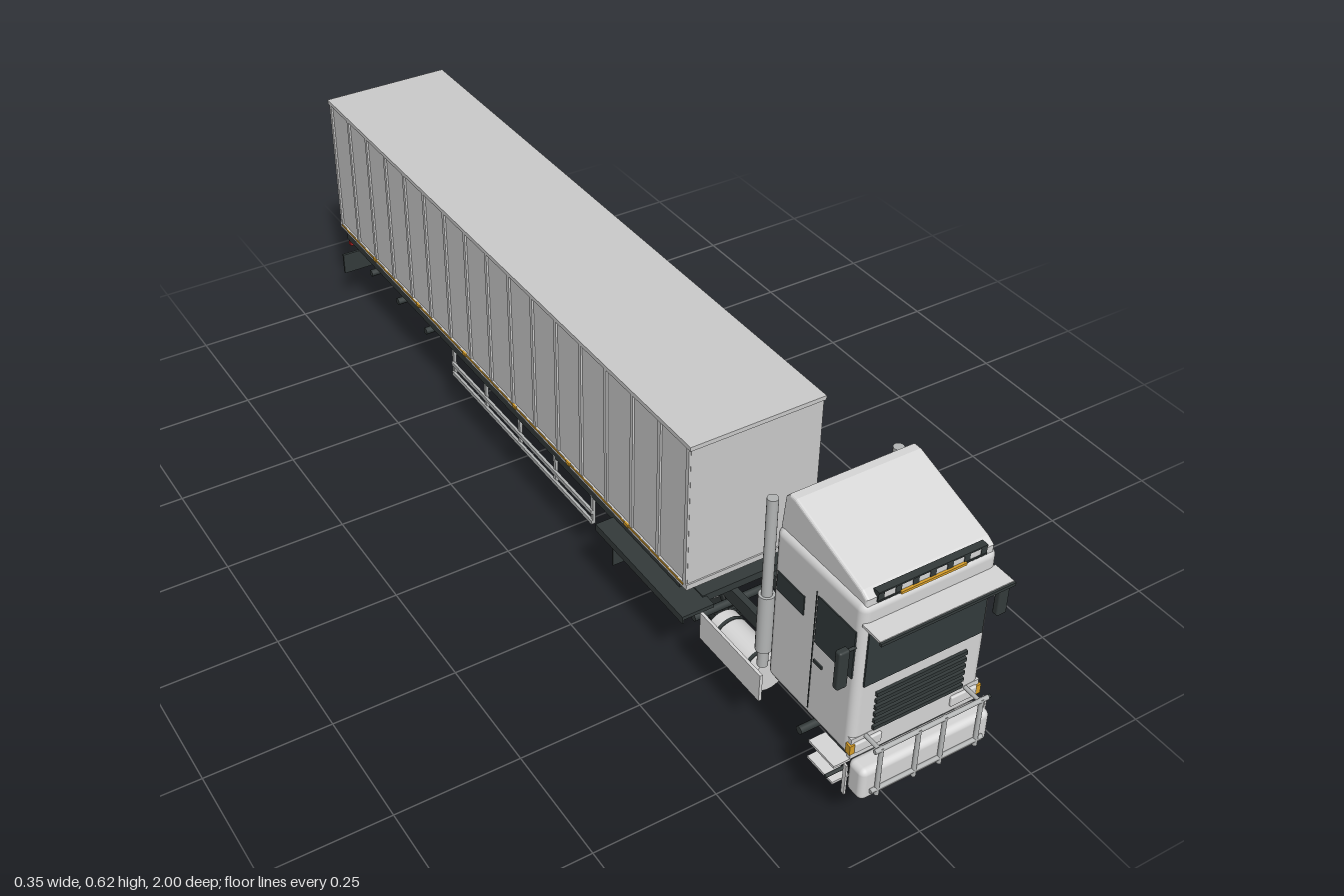
import * as THREE from 'three';
import { RoundedBoxGeometry } from 'three/addons/geometries/RoundedBoxGeometry.js';

const mat = (name, color) => {
  const m = new THREE.MeshStandardMaterial({ color });
  m.name = name;
  return m;
};

export function createModel() {
  const root = new THREE.Group();
  const paint = mat('cab paint', 0xd8d8d8), body = mat('trailer panel', 0xcccccc), steel = mat('steel', 0xb4b6b6);
  const dark = mat('chassis dark', 0x343b3b), glass = mat('glass', 0x333b3c), rubber = mat('rubber', 0x2b3131);
  const amber = mat('amber lamp', 0xd9a02b), red = mat('red lamp', 0xb02222);
  let parent = root;

  const add = (name, geo, m, x, y, z) => {
    const mesh = new THREE.Mesh(geo, m);
    mesh.name = name;
    mesh.position.set(x, y, z);
    parent.add(mesh);
    return mesh;
  };
  const box = (name, m, w, h, d, x, y, z) => add(name, new THREE.BoxGeometry(w, h, d), m, x, y, z);
  const rbox = (name, m, w, h, d, x, y, z, r) => add(name, new RoundedBoxGeometry(w, h, d, 3, r), m, x, y, z);
  // Cylinder along a chosen axis
  const rod = (name, m, r, len, axis, x, y, z, seg = 12) => {
    const g = new THREE.CylinderGeometry(r, r, len, seg);
    if (axis === 'x') g.rotateZ(Math.PI / 2);
    if (axis === 'z') g.rotateX(Math.PI / 2);
    return add(name, g, m, x, y, z);
  };
  const group = (name) => {
    parent = new THREE.Group();
    parent.name = name;
    root.add(parent);
  };
  const sides = [-1, 1];

  // Trailer container with ribs, rails and marker strips
  group('trailer');
  box('container', body, 0.276, 0.318, 1.464, 0, 0.382, -0.254);
  box('roofRim', body, 0.286, 0.009, 1.474, 0, 0.539, -0.254);
  box('bottomRail', body, 0.284, 0.012, 1.47, 0, 0.222, -0.254);
  for (const s of sides) {
    for (let i = 0; i <= 16; i++)
      box('sideRib', body, 0.006, 0.306, 0.009, s * 0.139, 0.381, 0.473 - i * 0.0909);
    box('reflectorStrip', amber, 0.002, 0.004, 1.45, s * 0.1425, 0.225, -0.254);
    for (let i = 0; i < 6; i++)
      box('sideMarker', amber, 0.004, 0.007, 0.014, s * 0.1435, 0.226, 0.28 - i * 0.216);
  }
  box('trailerDeck', dark, 0.272, 0.026, 1.42, 0, 0.203, -0.26);
  box('rearSubframe', dark, 0.24, 0.008, 0.41, 0, 0.186, -0.765);
  for (const s of sides) box('trailerBeam', dark, 0.016, 0.02, 1.3, s * 0.05, 0.182, -0.3);

  // Side guards between the landing legs and the rear axles
  group('sideGuards');
  for (const s of sides) {
    for (const y of [0.156, 0.131]) box('guardRail', steel, 0.006, 0.009, 0.585, s * 0.137, y, -0.148);
    for (let i = 0; i < 5; i++)
      box('guardPost', steel, 0.006, 0.068, 0.008, s * 0.133, 0.16, 0.14 - i * 0.145);
    box('landingLeg', steel, 0.016, 0.09, 0.014, s * 0.085, 0.147, 0.175);
    box('landingFoot', steel, 0.034, 0.006, 0.036, s * 0.085, 0.1, 0.175);
  }
  rod('landingShaft', steel, 0.004, 0.17, 'x', 0, 0.15, 0.175);

  // Rear underrun bar and tail lamps
  group('rearBumper');
  box('underrunBar', steel, 0.16, 0.02, 0.006, 0, 0.11, -0.992);
  for (const s of sides) {
    box('endPlate', dark, 0.07, 0.05, 0.006, s * 0.106, 0.108, -0.996);
    box('hanger', dark, 0.008, 0.06, 0.008, s * 0.055, 0.145, -0.985);
    box('tailLamp', red, 0.034, 0.02, 0.01, s * 0.112, 0.177, -0.976);
  }
  box('lampBeam', dark, 0.24, 0.012, 0.012, 0, 0.18, -0.965);

  // Tractor frame, rear mudguards and axles
  group('chassis');
  for (const s of sides) {
    box('frameRail', dark, 0.014, 0.032, 0.75, s * 0.045, 0.17, 0.515);
    box('rearMudguard', dark, 0.068, 0.008, 0.3, s * 0.141, 0.194, 0.37);
    box('mudguardLip', dark, 0.004, 0.016, 0.3, s * 0.173, 0.19, 0.37);
    box('mudFlap', dark, 0.07, 0.05, 0.004, s * 0.106, 0.108, 0.225);
    box('flapHanger', dark, 0.01, 0.065, 0.006, s * 0.106, 0.162, 0.225);
  }
  box('couplingPlate', dark, 0.23, 0.016, 0.31, 0, 0.193, 0.34);
  rbox('couplingSaddle', steel, 0.12, 0.03, 0.12, 0, 0.15, 0.385, 0.008);
  for (const z of [0.84, 0.72, 0.56, 0.46, 0.31, 0.16]) box('crossMember', dark, 0.09, 0.022, 0.014, 0, 0.17, z);
  for (const z of [0.79, 0.46, 0.31, -0.63, -0.77, -0.91]) rod('axle', dark, 0.008, 0.22, 'x', 0, 0.118, z);

  // Fuel tanks with straps and side skirts
  group('fuelTanks');
  for (const s of sides) {
    rod('tank', paint, 0.035, 0.145, 'z', s * 0.108, 0.17, 0.622, 28);
    for (const z of [0.575, 0.668]) rod('tankStrap', dark, 0.0365, 0.007, 'z', s * 0.108, 0.17, z, 28);
    box('tankSkirt', paint, 0.006, 0.06, 0.185, s * 0.144, 0.177, 0.627);
  }

  // Single wheel with tread blocks and hub bolts
  group('wheel');
  const tyre = new THREE.LatheGeometry([[0.034, -0.015], [0.05, -0.017], [0.056, -0.014], [0.057, 0],
    [0.056, 0.014], [0.05, 0.017], [0.034, 0.015]].map(p => new THREE.Vector2(...p)), 40);
  tyre.rotateZ(-Math.PI / 2);
  add('tyre', tyre, rubber, 0, 0.059, 0.385);
  rod('hub', dark, 0.036, 0.026, 'x', 0, 0.059, 0.385, 32);
  for (let i = 0; i < 30; i++) {
    const a = i / 30 * Math.PI * 2;
    box('treadBlock', rubber, 0.032, 0.003, 0.006, 0, 0.059 + 0.0572 * Math.cos(a), 0.385 + 0.0572 * Math.sin(a))
      .rotation.x = a;
  }
  for (let i = 0; i < 10; i++) {
    const a = i / 10 * Math.PI * 2;
    rod('hubBolt', steel, 0.0025, 0.012, 'x', -0.017, 0.059 + 0.024 * Math.cos(a), 0.385 + 0.024 * Math.sin(a), 8);
  }

  // Cab shell and sloping roof fairing
  group('cab');
  rbox('cabShell', paint, 0.27, 0.332, 0.233, 0, 0.376, 0.836, 0.016);
  box('cabFloor', dark, 0.2, 0.012, 0.2, 0, 0.206, 0.836);
  const profile = new THREE.Shape([[-0.943, 0.536], [-0.943, 0.548], [-0.93, 0.556], [-0.755, 0.611],
    [-0.742, 0.611], [-0.734, 0.602], [-0.727, 0.536]].map(p => new THREE.Vector2(...p)));
  const fairing = new THREE.ExtrudeGeometry(profile, {
    depth: 0.244, bevelEnabled: true, bevelSize: 0.005, bevelThickness: 0.005, bevelSegments: 3 });
  fairing.translate(0, 0, -0.122).rotateY(Math.PI / 2);
  add('roofFairing', fairing, paint, 0, 0, 0);

  // Windscreen, grille, visor
  box('windscreen', glass, 0.242, 0.122, 0.005, 0, 0.43, 0.953);
  for (let i = 0; i < 6; i++) box('grilleSlat', dark, 0.186, 0.008, 0.008, 0, 0.339 - i * 0.0152, 0.954);
  box('sunVisor', paint, 0.266, 0.005, 0.045, 0, 0.504, 0.972);
  box('visorEdge', dark, 0.268, 0.006, 0.005, 0, 0.502, 0.996);

  // Roof light bar
  box('lightBarTop', dark, 0.216, 0.003, 0.014, 0, 0.56, 0.945);
  box('lightBarBase', dark, 0.216, 0.003, 0.014, 0, 0.543, 0.945);
  for (let i = 0; i < 7; i++) box('lightBarDivider', dark, 0.012, 0.016, 0.012, -0.102 + i * 0.034, 0.551, 0.945);
  for (let i = 0; i < 6; i++) box('roofLamp', paint, 0.022, 0.013, 0.01, -0.085 + i * 0.034, 0.551, 0.945);
  box('amberBar', amber, 0.13, 0.005, 0.008, 0, 0.543, 0.951);

  for (const s of sides) {
    // Side glass, door seams and handles
    box('doorWindow', glass, 0.004, 0.1, 0.098, s * 0.135, 0.434, 0.892);
    box('sleeperWindow', glass, 0.004, 0.04, 0.074, s * 0.135, 0.435, 0.772);
    box('doorSeam', dark, 0.002, 0.26, 0.002, s * 0.135, 0.36, 0.838);
    box('doorHandle', dark, 0.004, 0.006, 0.022, s * 0.136, 0.345, 0.856);
    // Mirrors
    rbox('mirror', dark, 0.021, 0.08, 0.014, s * 0.163, 0.424, 0.945, 0.004);
    rod('mirrorArm', dark, 0.003, 0.034, 'x', s * 0.147, 0.451, 0.94, 8);
    // Headlamps and indicators
    rbox('headlamp', paint, 0.055, 0.022, 0.014, s * 0.1, 0.234, 0.951, 0.003);
    box('indicator', amber, 0.01, 0.02, 0.012, s * 0.132, 0.233, 0.95);
    // Entry steps
    box('upperStep', paint, 0.035, 0.005, 0.07, s * 0.125, 0.171, 0.892);
    box('lowerStep', paint, 0.035, 0.005, 0.07, s * 0.125, 0.133, 0.892);
    rod('stepBar', dark, 0.0035, 0.045, 'x', s * 0.152, 0.186, 0.945, 8);
    box('bumperEnd', paint, 0.004, 0.066, 0.008, s * 0.146, 0.178, 0.96);
    // Exhaust stacks
    rod('exhaustStack', steel, 0.01, 0.37, 'y', s * 0.128, 0.395, 0.699, 20);
    rod('muffler', steel, 0.015, 0.125, 'y', s * 0.128, 0.31, 0.699, 20);
  }

  // Front bumper and bull bar
  group('frontBumper');
  rbox('bumper', paint, 0.27, 0.07, 0.042, 0, 0.176, 0.97, 0.012);
  box('bumperBrace', dark, 0.2, 0.03, 0.1, 0, 0.175, 0.91);
  box('lowerPanel', paint, 0.266, 0.045, 0.01, 0, 0.232, 0.948);
  for (const y of [0.255, 0.163]) rod('bullBarRail', steel, 0.0045, 0.236, 'x', 0, y, 0.9935);
  for (const x of [-0.104, -0.027, 0.027, 0.104]) rod('bullBarPost', steel, 0.0045, 0.108, 'y', x, 0.204, 0.9935);
  for (const s of sides) rod('bullBarMount', steel, 0.004, 0.045, 'z', s * 0.104, 0.25, 0.972);
  return root;
}
